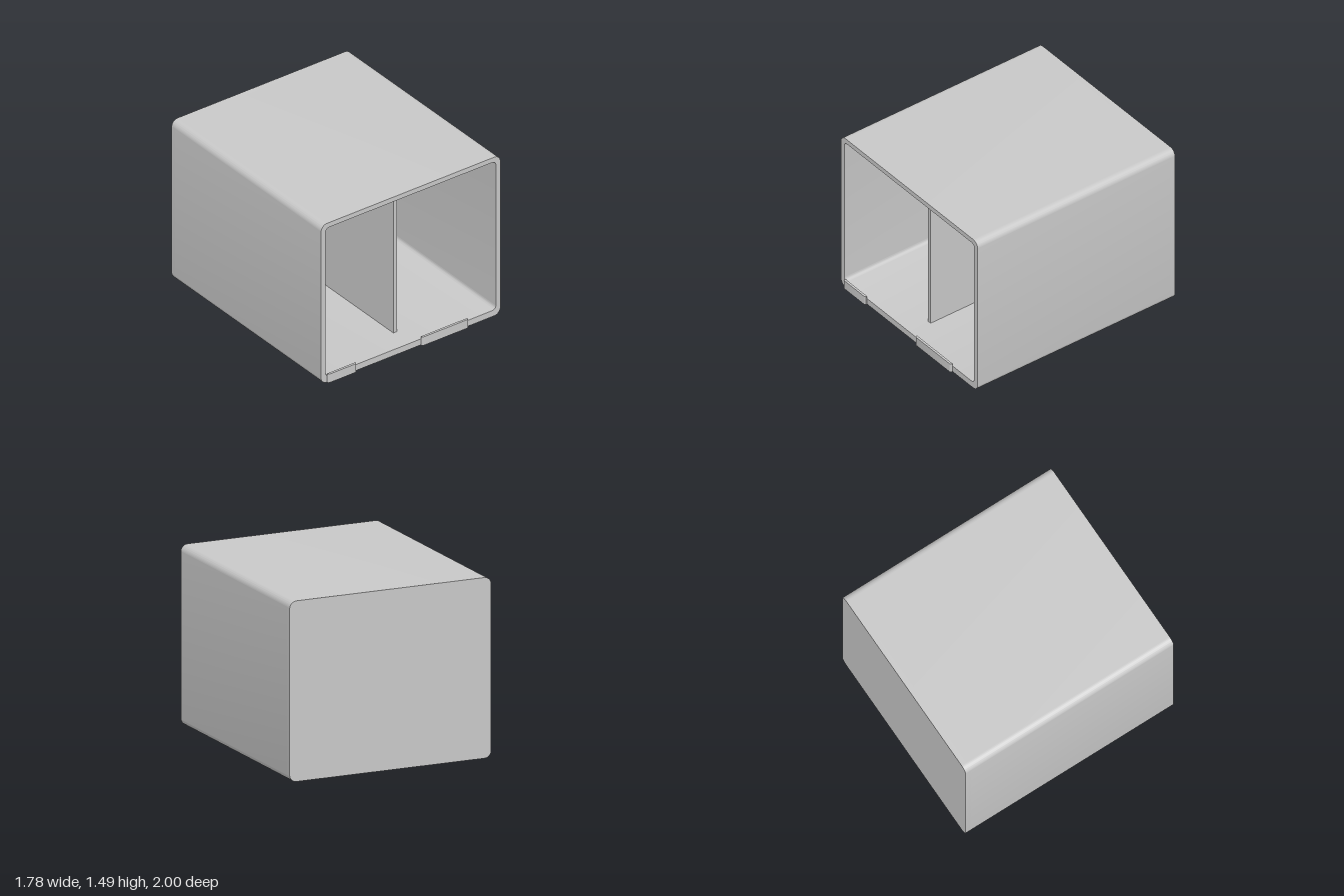
import * as THREE from 'three';
import { toCreasedNormals } from 'three/addons/utils/BufferGeometryUtils.js';

// Trace a rounded rectangle into a Shape or Path.
function roundedRect(path, x0, y0, x1, y1, r) {
  path.moveTo(x0 + r, y0);
  path.lineTo(x1 - r, y0);
  path.absarc(x1 - r, y0 + r, r, -Math.PI / 2, 0);
  path.lineTo(x1, y1 - r);
  path.absarc(x1 - r, y1 - r, r, 0, Math.PI / 2);
  path.lineTo(x0 + r, y1);
  path.absarc(x0 + r, y1 - r, r, Math.PI / 2, Math.PI);
  path.lineTo(x0, y0 + r);
  path.absarc(x0 + r, y0 + r, r, Math.PI, Math.PI * 1.5);
  return path;
}

function extrude(shape, depth) {
  const geometry = new THREE.ExtrudeGeometry(shape, { depth, bevelEnabled: false, curveSegments: 10 });
  return toCreasedNormals(geometry, 0.6);
}

export function createModel() {
  const group = new THREE.Group();
  const grey = new THREE.MeshStandardMaterial({ color: 0xc8c8c8 });
  grey.name = 'light grey';

  const add = (name, geometry, x = 0, y = 0, z = 0) => {
    const mesh = new THREE.Mesh(geometry, grey);
    mesh.name = name;
    mesh.position.set(x, y, z);
    group.add(mesh);
    return mesh;
  };

  const halfWidth = 0.89, height = 1.485, back = -1, front = 0.98, wall = 0.045;
  const outline = () => roundedRect(new THREE.Shape(), -halfWidth, 0, halfWidth, height, 0.06);

  // Hollow sleeve, open at the front, with a slightly thicker floor
  const sleeve = outline();
  sleeve.holes.push(roundedRect(new THREE.Path(), -0.845, 0.056, 0.845, 1.442, 0.035));
  add('sleeve', extrude(sleeve, front - back - wall), 0, 0, back + wall);

  // Closed back
  add('backPanel', extrude(outline(), wall), 0, 0, back);

  // Upright divider, set back from the opening
  const dividerFront = 0.777, dividerDepth = dividerFront - back - wall;
  add('divider', new THREE.BoxGeometry(0.034, 1.39, dividerDepth),
    -0.003, 0.749, dividerFront - dividerDepth / 2);

  // Low tabs along the bottom front edge, with rounded front corners
  const tabDepth = 0.02, tabHeight = 0.08, r = 0.015;
  for (const [name, x0, x1] of [['rightTab', -0.832, -0.548], ['leftTab', 0.1, 0.562]]) {
    const s = new THREE.Shape();
    s.moveTo(x0, 0);
    s.lineTo(x0, -tabDepth + r);
    s.absarc(x0 + r, -tabDepth + r, r, Math.PI, Math.PI * 1.5);
    s.lineTo(x1 - r, -tabDepth);
    s.absarc(x1 - r, -tabDepth + r, r, -Math.PI / 2, 0);
    s.lineTo(x1, 0);
    add(name, extrude(s, tabHeight), 0, 0, front).rotation.x = -Math.PI / 2;
  }

  return group;
}
